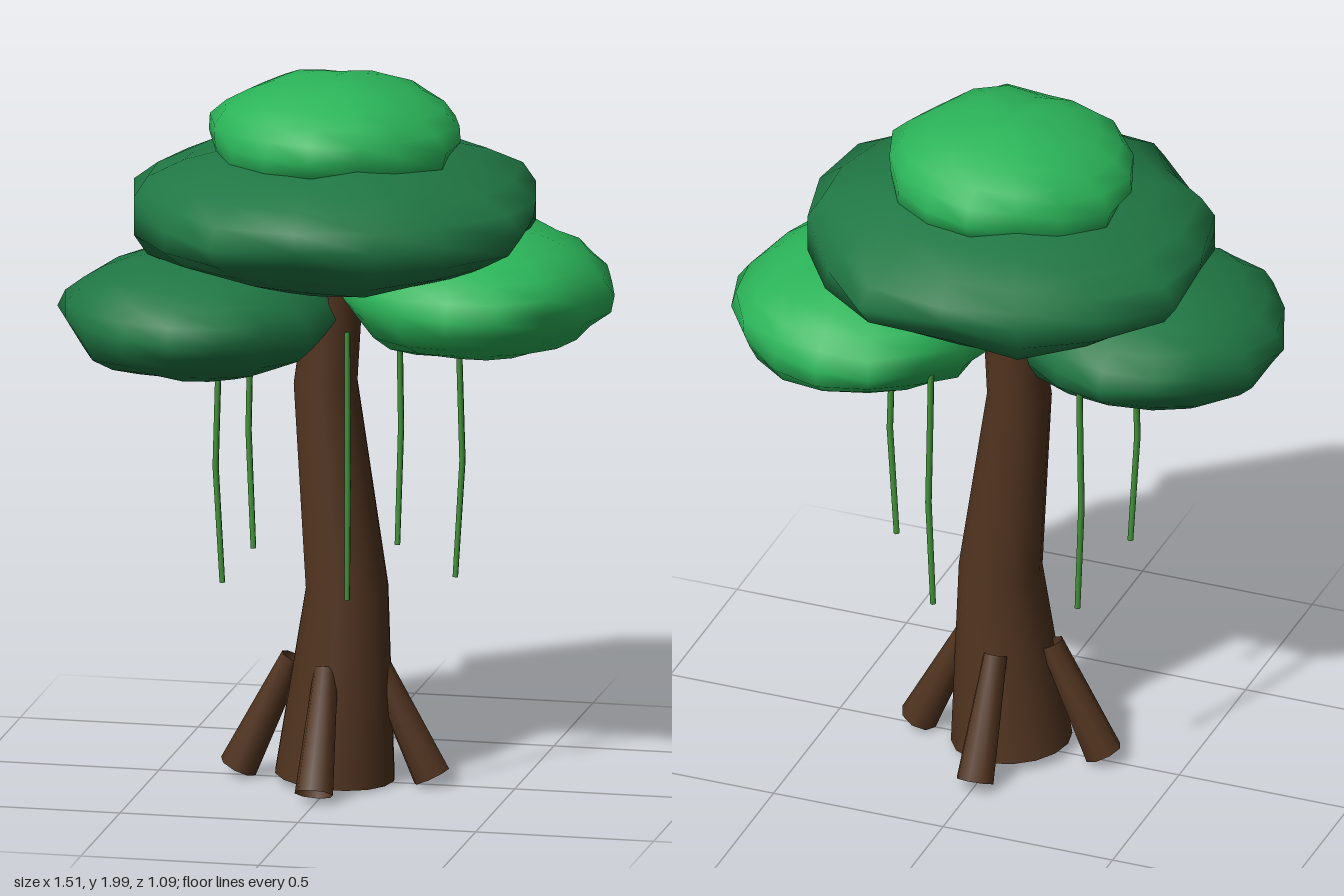
import * as THREE from 'three';
import { mergeVertices } from 'three/addons/utils/BufferGeometryUtils.js';

const V = (x, y, z) => new THREE.Vector3(x, y, z);

export function createModel() {
  const model = new THREE.Group();
  const mat = (name, color) => new THREE.MeshStandardMaterial({ name, color });
  const bark = mat('bark', 0x50331f);
  bark.side = THREE.DoubleSide;
  const darkLeaf = mat('darkLeaf', 0x207744);
  const brightLeaf = mat('brightLeaf', 0x2bb459);
  const vineGreen = mat('vineGreen', 0x43943a);
  vineGreen.side = THREE.DoubleSide;

  const add = (name, geometry, material) => {
    const mesh = new THREE.Mesh(geometry, material);
    mesh.name = name;
    model.add(mesh);
    return mesh;
  };

  // Tapered open-ended limb that follows rings of [x, y, z, radius]
  const limb = (rings, sides) => {
    const pos = [], index = [], n = rings.length;
    const centres = rings.map(r => V(r[0], r[1], r[2]));
    rings.forEach((r, i) => {
      const dir = centres[Math.min(i + 1, n - 1)].clone().sub(centres[Math.max(i - 1, 0)]).normalize();
      const turn = new THREE.Quaternion().setFromUnitVectors(V(0, 1, 0), dir);
      for (let j = 0; j < sides; j++) {
        const a = j / sides * Math.PI * 2;
        const p = V(Math.sin(a) * r[3], 0, Math.cos(a) * r[3]).applyQuaternion(turn).add(centres[i]);
        pos.push(p.x, p.y, p.z);
        const k = (j + 1) % sides, b = i * sides;
        if (i < n - 1) index.push(b + j, b + k, b + sides + j, b + k, b + sides + k, b + sides + j);
      }
    });
    const g = new THREE.BufferGeometry();
    g.setAttribute('position', new THREE.Float32BufferAttribute(pos, 3));
    g.setIndex(index);
    g.computeVertexNormals();
    return g;
  };

  // Leaning trunk
  add('trunk', limb([
    [-0.005, 0.025, 0.003, 0.167], [0.032, 0.56, 0.015, 0.115],
    [-0.035, 1.13, -0.015, 0.089], [0, 1.45, -0.005, 0.075],
  ], 16), bark);

  // Four buttress roots
  for (let i = 0; i < 4; i++) {
    const a = i * Math.PI / 2, s = Math.sin(a), c = Math.cos(a);
    add('root', limb([
      [s * 0.272 - 0.005, 0.032, c * 0.272, 0.054],
      [s * 0.118 - 0.005, 0.35, c * 0.118, 0.034],
    ], 8), bark);
  }

  // Lumpy flattened foliage filling the given half sizes; the lumps swirl from top to bottom
  const foliage = (name, material, [x, y, z], half, lobes, twist, phase) => {
    const g = new THREE.SphereGeometry(1, 16, 12);
    g.deleteAttribute('uv');
    g.deleteAttribute('normal');
    const p = g.attributes.position, v = V();
    for (let i = 0; i < p.count; i++) {
      v.fromBufferAttribute(p, i);
      const a = Math.atan2(v.z, v.x), edge = Math.hypot(v.x, v.z);
      const bump = 0.03 * Math.cos(lobes * a + Math.PI + twist * v.y + phase)
        + 0.05 * Math.sin(4 * a + 5 * v.y + phase);
      v.multiplyScalar(1 + bump * edge);
      p.setXYZ(i, v.x, v.y, v.z);
    }
    const merged = mergeVertices(g, 1e-4);
    merged.center();
    const { max } = merged.boundingBox;
    const size = V(...half).multiplyScalar(2).divide(max.clone().sub(merged.boundingBox.min));
    merged.scale(size.x, size.y, size.z);
    merged.computeVertexNormals();
    add(name, merged, material).position.set(x, y, z);
  };
  foliage('mainCanopy', darkLeaf, [-0.005, 1.625, 0], [0.573, 0.207, 0.547], 8, 1, 0);
  foliage('crown', brightLeaf, [-0.006, 1.83, 0], [0.354, 0.17, 0.347], 6, 3, 0.8);
  foliage('rightCanopy', darkLeaf, [-0.365, 1.342, 0.132], [0.392, 0.17, 0.398], 6, 2, 1.6);
  foliage('leftCanopy', brightLeaf, [0.365, 1.39, -0.118], [0.39, 0.178, 0.41], 6, 2, 2.6);

  // Five hanging vines around the trunk
  for (let i = 0; i < 5; i++) {
    const a = i * Math.PI * 2 / 5, c = Math.cos(a), s = Math.sin(a);
    const at = (r, y, w) => [c * r - 0.005, y, s * r, w];
    add('vine', limb([
      at(0.338, 0.6, 0.008), at(0.358, 0.93, 0.009), at(0.35, 1.2, 0.009), at(0.346, 1.36, 0.009),
    ], 6), vineGreen);
  }
  return model;
}
